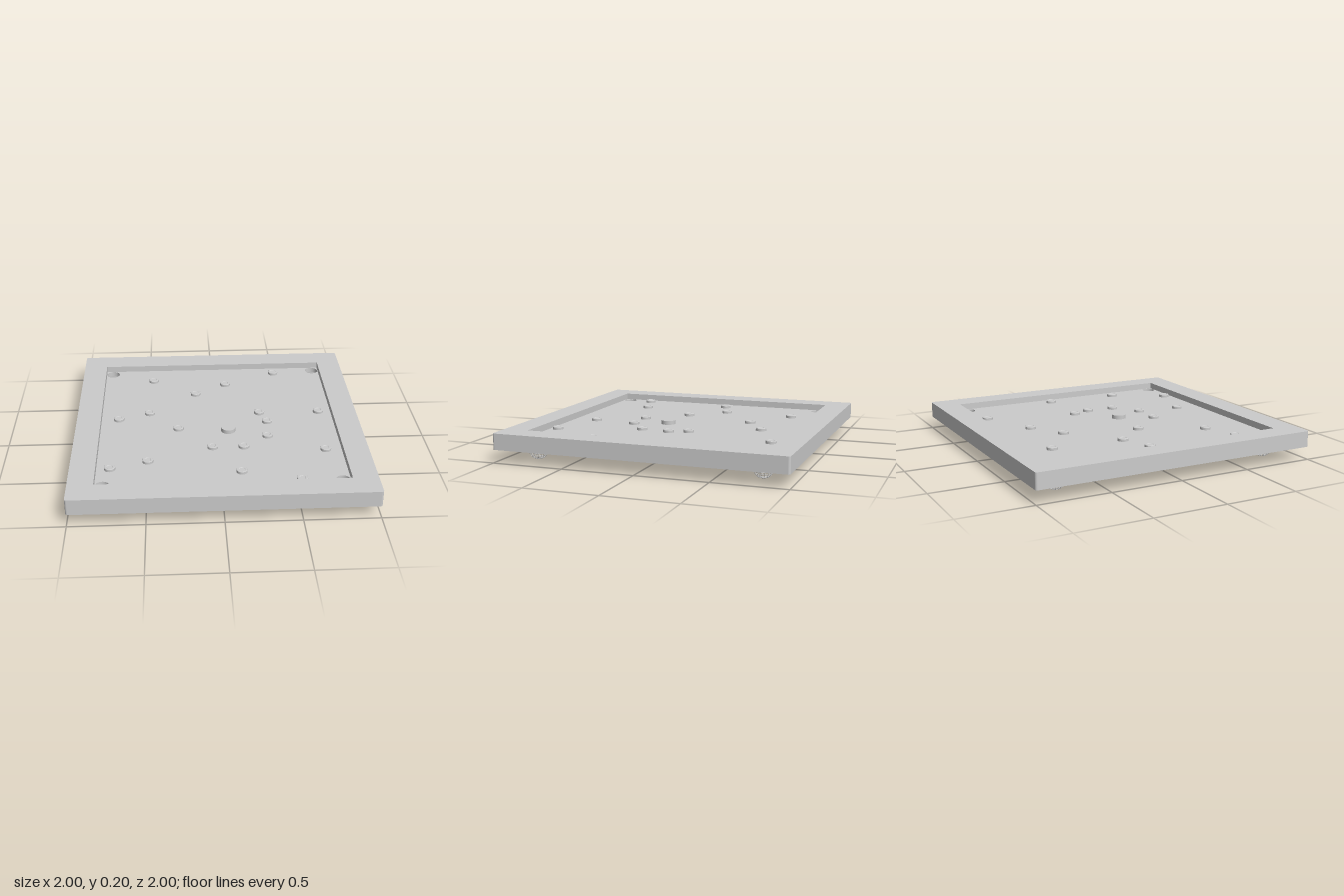
import * as THREE from 'three';
import { mergeGeometries } from 'three/addons/utils/BufferGeometryUtils.js';

const FRAME_TOP = 0.2, FRAME_BOTTOM = 0.09;
const FLOOR_TOP = 0.155, FLOOR_BOTTOM = 0.12;
const INNER = 0.83, POCKET = 0.78, POCKET_RADIUS = 0.05;

// Centres of the discs lying on the board, as x, z
const COINS = [
  [-0.46, -0.65], [0.47, -0.745], [0.085, -0.57], [-0.145, -0.425],
  [-0.485, -0.145], [-0.705, -0.065], [0.31, -0.12], [0.74, -0.12],
  [0.355, 0.01], [-0.28, 0.085], [0.34, 0.21], [-0.05, 0.345],
  [0.165, 0.345], [0.72, 0.405], [-0.49, 0.505], [-0.74, 0.585],
  [0.13, 0.655], [0.515, 0.77],
];

// Square outline with softened corners
function squareShape(half, r) {
  const s = new THREE.Shape();
  const c = half - r;
  s.absarc(c, c, r, 0, Math.PI / 2);
  s.absarc(-c, c, r, Math.PI / 2, Math.PI);
  s.absarc(-c, -c, r, Math.PI, Math.PI * 1.5);
  s.absarc(c, -c, r, Math.PI * 1.5, Math.PI * 2);
  s.closePath();
  return s;
}

// Horizontal slab between two heights
function slab(shape, bottom, top) {
  const g = new THREE.ExtrudeGeometry(shape, {
    depth: top - bottom, bevelEnabled: false, curveSegments: 24,
  });
  return g.rotateX(-Math.PI / 2).translate(0, bottom, 0);
}

// Knotted bowl: thin ribs crossed by rings
function netGeometry() {
  const thread = 0.0015, ribs = 16;
  const profile = [
    [0.085, 0.12], [0.08, 0.09], [0.069, 0.06], [0.056, 0.032], [0.038, 0.011], [0.01, 0.002],
  ];
  const curve = new THREE.CatmullRomCurve3(profile.map(([r, y]) => new THREE.Vector3(r, y, 0)));
  const parts = [];
  for (let i = 0; i < ribs; i++) {
    const rib = new THREE.TubeGeometry(curve, 12, thread, 4);
    parts.push(rib.rotateY((i / ribs) * Math.PI * 2));
  }
  for (let i = 1; i <= 10; i++) {
    const p = curve.getPointAt(i / 10);
    const ring = new THREE.TorusGeometry(p.x, thread, 4, 24);
    parts.push(ring.rotateX(Math.PI / 2).translate(0, p.y, 0));
  }
  return mergeGeometries(parts);
}

export function createModel() {
  const model = new THREE.Group();
  const grey = new THREE.MeshStandardMaterial({ color: 0xcccccc });
  grey.name = 'plain grey';

  const add = (name, geometry, x = 0, y = 0, z = 0) => {
    const mesh = new THREE.Mesh(geometry, grey);
    mesh.name = name;
    mesh.position.set(x, y, z);
    model.add(mesh);
  };

  // Raised border
  const border = squareShape(1, 0.015);
  border.holes.push(new THREE.Path([
    new THREE.Vector2(-INNER, -INNER), new THREE.Vector2(-INNER, INNER),
    new THREE.Vector2(INNER, INNER), new THREE.Vector2(INNER, -INNER),
  ]));
  add('frame', slab(border, FRAME_BOTTOM, FRAME_TOP));

  // Playing surface with a hole in each corner
  const floor = squareShape(INNER, 0.001);
  const corners = [[-1, -1], [1, -1], [1, 1], [-1, 1]];
  for (const [sx, sz] of corners) {
    const hole = new THREE.Path();
    hole.absarc(sx * POCKET, sz * POCKET, POCKET_RADIUS - 0.002, 0, Math.PI * 2, true);
    floor.holes.push(hole);
  }
  add('playingSurface', slab(floor, FLOOR_BOTTOM, FLOOR_TOP));

  // Nets hanging below the holes
  const net = netGeometry();
  for (const [sx, sz] of corners) add('pocketNet', net, sx * POCKET, 0, sz * POCKET);

  // Small discs with a shallow dished top
  const coinProfile = [
    [0, 0.017], [0.018, 0.017], [0.022, 0.02], [0.034, 0.02], [0.037, 0.017], [0.037, 0],
  ].reverse().map(([r, y]) => new THREE.Vector2(r, y));
  const coin = new THREE.LatheGeometry(coinProfile, 28).toNonIndexed();
  coin.computeVertexNormals();
  for (const [x, z] of COINS) add('coin', coin, x, FLOOR_TOP, z);

  // Larger striking disc
  add('striker', new THREE.CylinderGeometry(0.05, 0.05, 0.028, 36), 0.07, FLOOR_TOP + 0.014, 0.12);

  return model;
}
